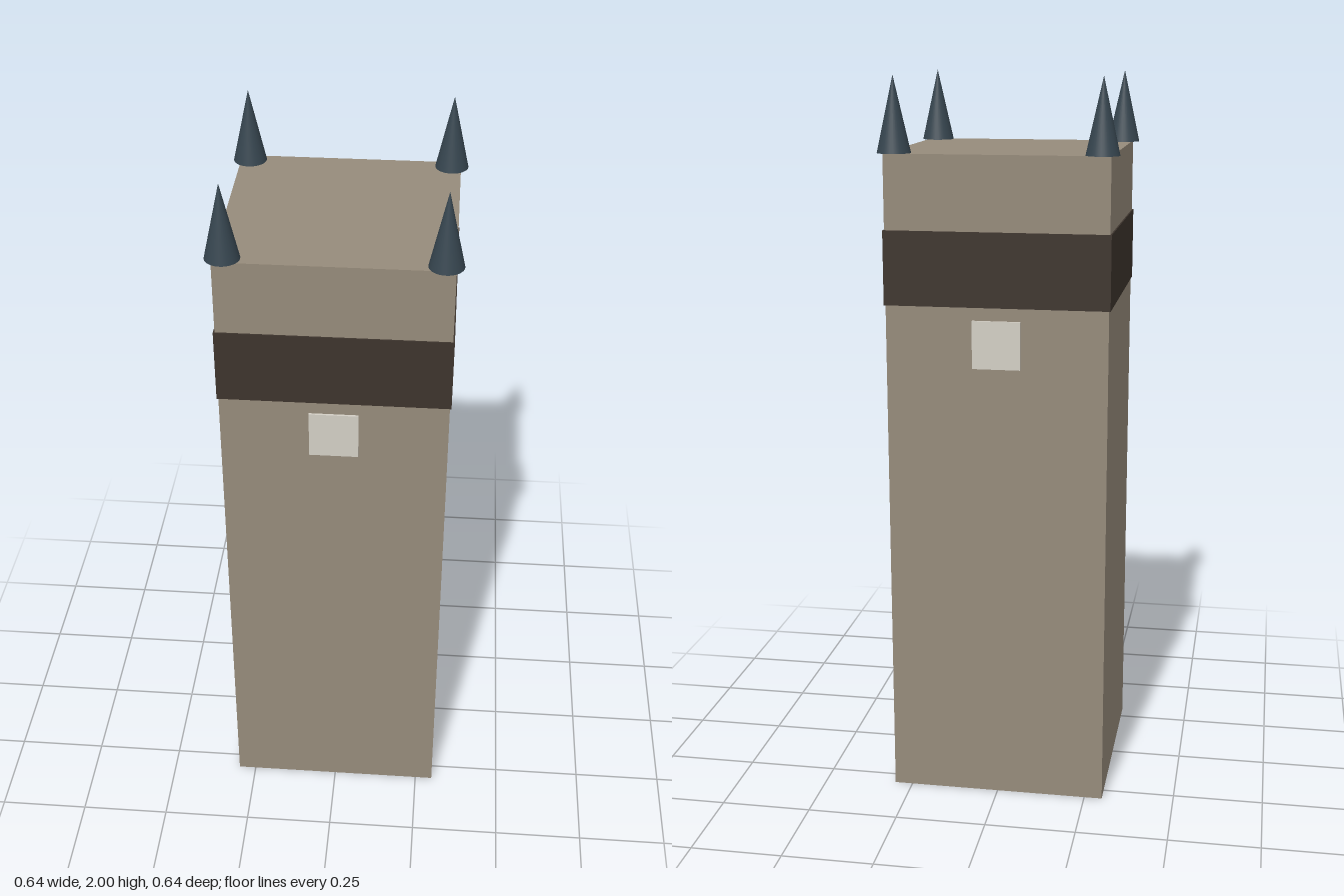
import * as THREE from 'three';

export function createModel() {
  const group = new THREE.Group();
  const stone = new THREE.MeshStandardMaterial({ color: 0x968b7b });
  const darkBand = new THREE.MeshStandardMaterial({ color: 0x3d342d });
  const pale = new THREE.MeshStandardMaterial({ color: 0xd3cfc5 });
  const slate = new THREE.MeshStandardMaterial({ color: 0x36454f });

  function add(name, geometry, material, x, y, z) {
    const mesh = new THREE.Mesh(geometry, material);
    mesh.name = name;
    mesh.position.set(x, y, z);
    group.add(mesh);
  }

  // Square shaft and the band wrapped round its upper part
  add('towerShaft', new THREE.BoxGeometry(0.6, 1.8, 0.6), stone, 0, 0.9, 0);
  add('belfryBand', new THREE.BoxGeometry(0.608, 0.2, 0.608), darkBand, 0, 1.5, 0);

  // Thin square panels on the front and back
  const panel = new THREE.BoxGeometry(0.13, 0.13, 0.012);
  add('frontPanel', panel, pale, 0, 1.3, 0.3);
  add('backPanel', panel, pale, 0, 1.3, -0.3);

  // Corner spires
  const spire = new THREE.ConeGeometry(0.045, 0.2, 32);
  for (const [xName, x] of [['Left', 0.275], ['Right', -0.275]]) {
    for (const [zName, z] of [['front', 0.275], ['back', -0.275]]) {
      add(`${zName}${xName}Spire`, spire, slate, x, 1.9, z);
    }
  }

  return group;
}
